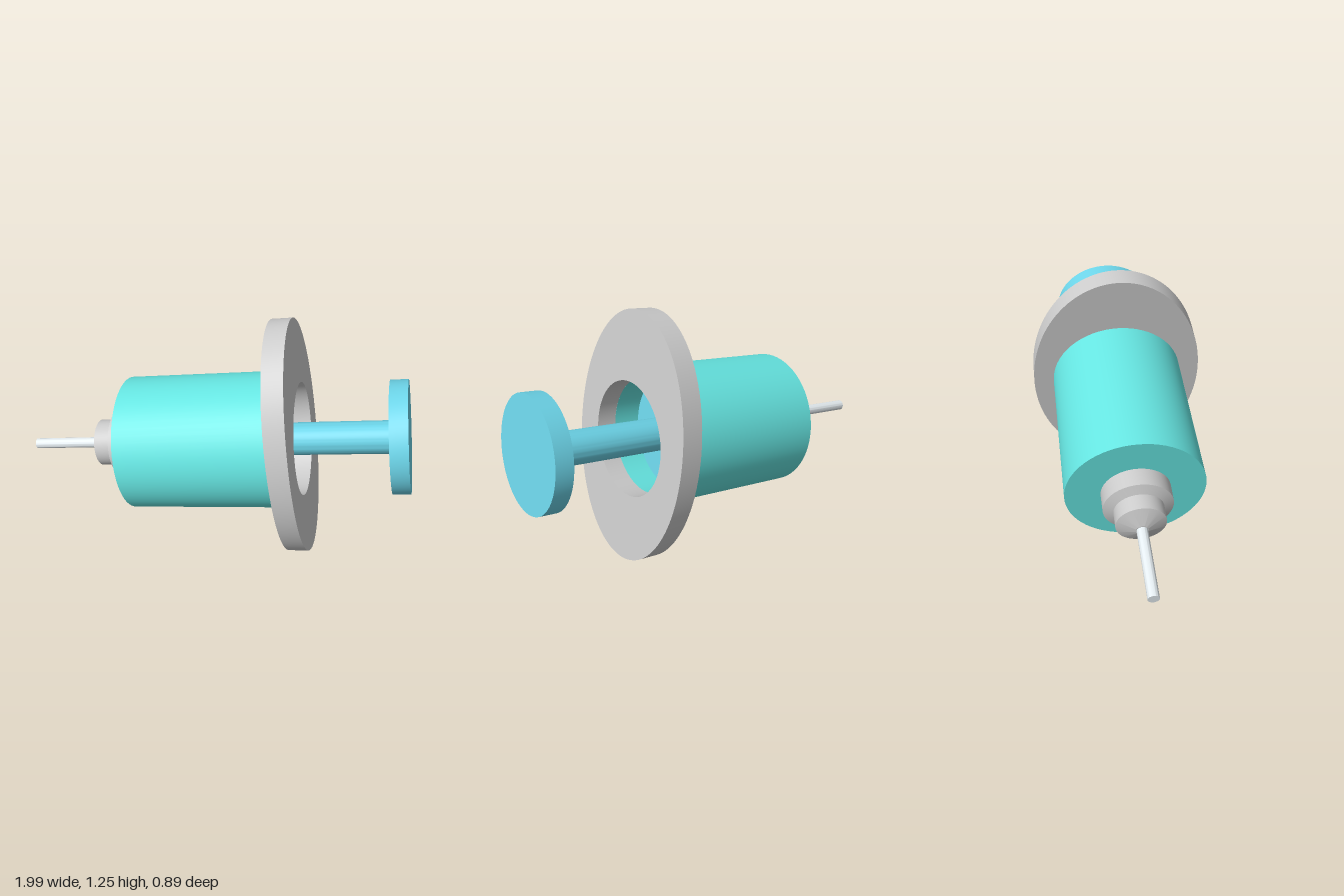
import * as THREE from 'three';
import { toCreasedNormals } from 'three/addons/utils/BufferGeometryUtils.js';

const SIDES = 64;
const paint = (color) => new THREE.MeshStandardMaterial({ color });
const grey = paint(0xcccccc);
const teal = paint(0x66e6e2);
const blue = paint(0x6cd4e8);
const steel = paint(0xe6eef2);

// Solid of revolution about the syringe axis; profile is [radius, position] from tip to end
function turned(name, profile, material) {
  const points = profile.map(([r, u]) => new THREE.Vector2(r, u));
  const geometry = toCreasedNormals(new THREE.LatheGeometry(points, SIDES), 0.35);
  const mesh = new THREE.Mesh(geometry, material);
  mesh.name = name;
  return mesh;
}

// Plain round bar or disc between two positions on the axis
const rod = (name, r, from, to, material) =>
  turned(name, [[0, from], [r, from], [r, to], [0, to]], material);

export function createModel() {
  const model = new THREE.Group();
  model.name = 'syringe';

  // Everything is built along local +y, then tilted 10 degrees above the x axis
  const body = new THREE.Group();
  body.name = 'syringeBody';
  body.position.set(-0.993, 0.383, 0);
  body.rotation.z = THREE.MathUtils.degToRad(-80);
  model.add(body);

  // Needle and the two-step nozzle with coned faces
  body.add(rod('needle', 0.027, 0, 0.4, steel));
  body.add(turned('needleHub',
    [[0, 0.35], [0.03, 0.35], [0.12, 0.385], [0.12, 0.5], [0, 0.5]], grey));
  body.add(turned('nozzleCollar',
    [[0, 0.463], [0.12, 0.463], [0.168, 0.482], [0.168, 0.575], [0, 0.575]], grey));

  // Hollow barrel, open towards the flange
  body.add(turned('barrel',
    [[0, 0.574], [0.34, 0.574], [0.34, 1.355], [0.28, 1.355], [0.28, 0.634], [0, 0.634]], teal));

  // Oval finger flange with a round bore
  const oval = new THREE.Shape();
  oval.absellipse(0, 0, 0.627, 0.443, 0, Math.PI * 2, false);
  const bore = new THREE.Path();
  bore.absarc(0, 0, 0.28, 0, Math.PI * 2, true);
  oval.holes.push(bore);
  const plate = new THREE.ExtrudeGeometry(oval,
    { depth: 0.101, bevelEnabled: false, curveSegments: SIDES });
  plate.rotateX(-Math.PI / 2);
  const flange = new THREE.Mesh(toCreasedNormals(plate, 0.35), grey);
  flange.name = 'fingerFlange';
  flange.position.y = 1.354;
  body.add(flange);

  // Plunger: piston, rod and thumb disc
  const plunger = new THREE.Group();
  plunger.name = 'plunger';
  plunger.add(rod('piston', 0.277, 1.13, 1.22, blue));
  plunger.add(rod('plungerRod', 0.081, 1.2, 1.9, blue));
  plunger.add(rod('thumbDisc', 0.275, 1.884, 1.97, blue));
  body.add(plunger);

  return model;
}
